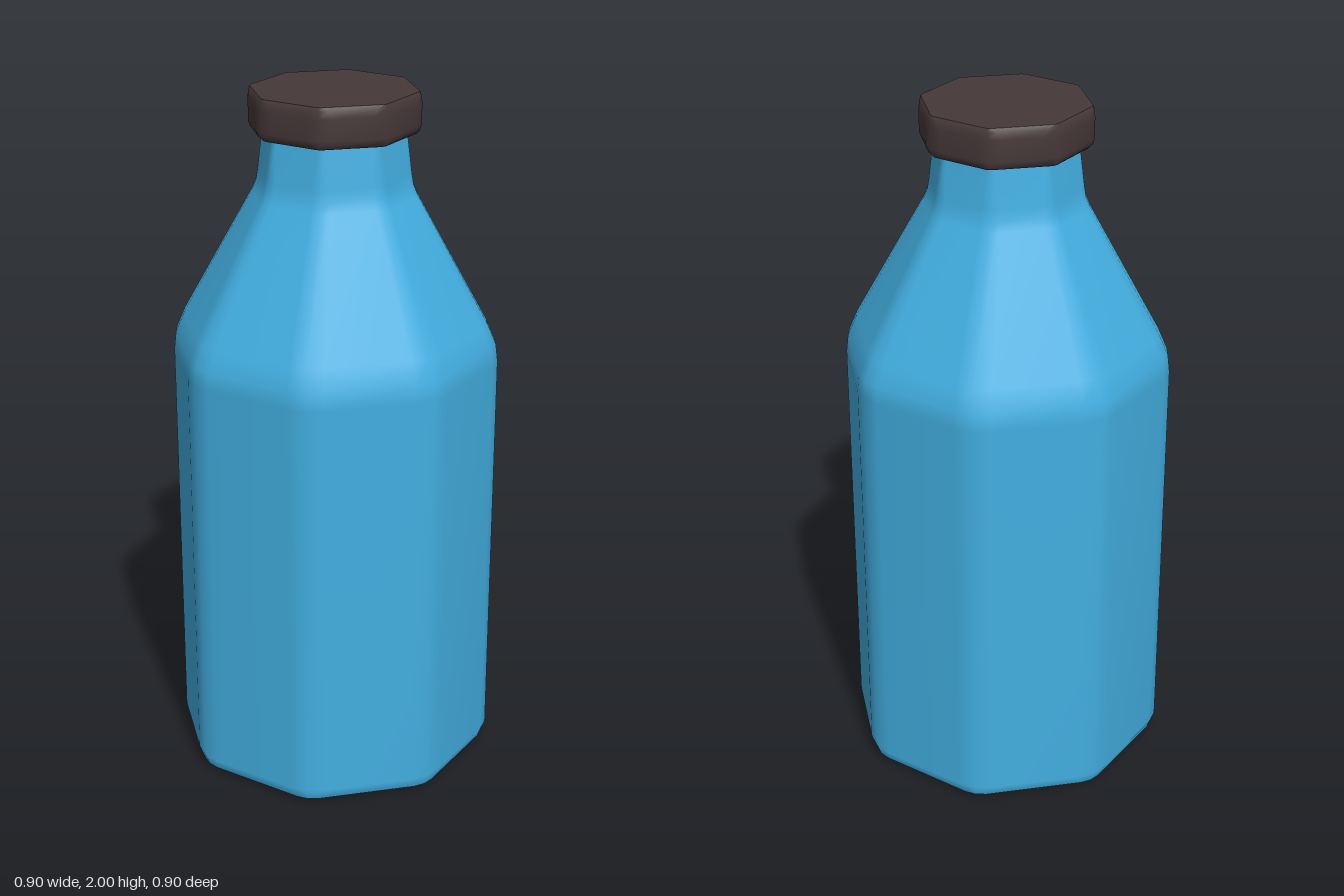
import * as THREE from 'three';

const SIDES = 8;
const TURN = THREE.MathUtils.degToRad(19.7); // the octagon is slightly turned

// Octagon ring with bevelled corners: three points per corner
function ringPoints([y, r, spreadDeg]) {
  const pts = [];
  const spread = THREE.MathUtils.degToRad(spreadDeg);
  for (let k = 0; k < SIDES; k++) {
    for (const s of [-1, 0, 1]) {
      const a = TURN + (k * Math.PI * 2) / SIDES + s * spread;
      // side points lie on a slightly smaller radius, flattening the faces
      const rr = s === 0 ? r : r * (1 - 0.0024 * spreadDeg);
      pts.push([rr * Math.cos(a), y, -rr * Math.sin(a)]);
    }
  }
  return pts;
}

// Smooth skin through rings listed from bottom to top: [y, radius, spread]
function loft(rings) {
  const n = SIDES * 3;
  const pos = rings.flatMap((r) => ringPoints(r).flat());
  const idx = [];
  for (let i = 0; i < rings.length - 1; i++) {
    for (let j = 0; j < n; j++) {
      const a = i * n + j, b = i * n + ((j + 1) % n);
      idx.push(a, b, b + n, a, b + n, a + n);
    }
  }
  return build(pos, idx);
}

// Flat lid closing a ring
function lid(ring, up) {
  const pts = ringPoints(ring);
  const n = pts.length;
  const pos = [...pts.flat(), 0, ring[0], 0];
  const idx = [];
  for (let j = 0; j < n; j++) {
    const k = (j + 1) % n;
    idx.push(n, up ? j : k, up ? k : j);
  }
  return build(pos, idx);
}

function build(pos, idx) {
  const g = new THREE.BufferGeometry();
  g.setAttribute('position', new THREE.Float32BufferAttribute(pos, 3));
  g.setIndex(idx);
  g.computeVertexNormals();
  return g;
}

export function createModel() {
  const glass = new THREE.MeshStandardMaterial({ color: 0x42aee0 });
  glass.name = 'blue body';
  const dark = new THREE.MeshStandardMaterial({ color: 0x463839 });
  dark.name = 'dark brown cap';

  const model = new THREE.Group();
  model.name = 'bottle';
  const add = (name, geometry, material) => {
    const mesh = new THREE.Mesh(geometry, material);
    mesh.name = name;
    model.add(mesh);
  };

  // Body: base edge, straight wall, shoulder and neck
  const base = [0, 0.432, 1];
  const baseEdge = [0.015, 0.457, 4];
  add('base', lid(base, false), glass);
  add('baseEdge', loft([base, baseEdge]), glass);
  add('body', loft([
    baseEdge,
    [0.05, 0.47, 6.3],
    [1.235, 0.47, 6.3],
    [1.285, 0.464, 6.3],
    [1.345, 0.438, 6.3],
    [1.71, 0.234, 6.3],
    [1.74, 0.222, 6.3],
    [1.77, 0.217, 6],
    [1.89, 0.202, 3],
  ]), glass);

  // Cap: rounded rim, flat top and blue underside
  const capBottom = [1.885, 0.23, 2];
  const capTop = [2, 0.235, 2];
  add('capUnderside', lid(capBottom, false), glass);
  add('capRim', loft([
    capBottom,
    [1.893, 0.237, 6],
    [1.91, 0.242, 9],
    [1.97, 0.242, 9],
    [1.99, 0.239, 6],
    capTop,
  ]), dark);
  add('capTop', lid(capTop, true), dark);

  return model;
}
